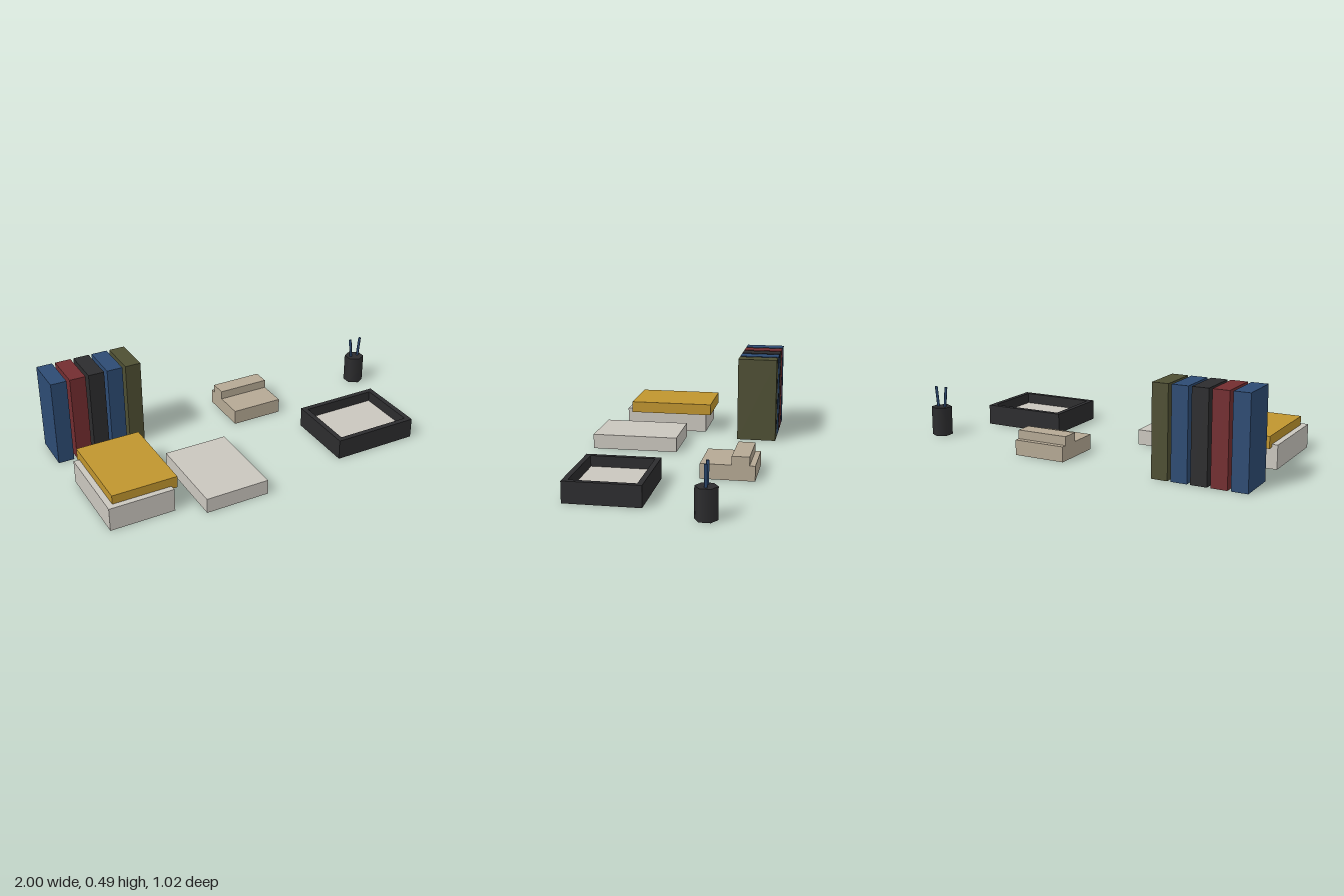
import * as THREE from 'three';

const mat = (name, color) => {
  const m = new THREE.MeshStandardMaterial({ color });
  m.name = name;
  return m;
};

export function createModel() {
  const group = new THREE.Group();
  group.name = 'deskItems';

  const blue = mat('blue', 0x2d4b73);
  const red = mat('darkRed', 0x732d30);
  const black = mat('charcoal', 0x2c2c2e);
  const olive = mat('olive', 0x4e4f33);
  const mustard = mat('mustard', 0xc0952e);
  const paper = mat('paper', 0xcac6be);
  const tan = mat('tan', 0xb5a994);

  // Box given by its extents on each axis
  const block = (name, material, [x0, x1], [y0, y1], [z0, z1], parent = group) => {
    const mesh = new THREE.Mesh(new THREE.BoxGeometry(x1 - x0, y1 - y0, z1 - z0), material);
    mesh.position.set((x0 + x1) / 2, (y0 + y1) / 2, (z0 + z1) / 2);
    mesh.name = name;
    parent.add(mesh);
    return mesh;
  };

  // Row of standing binders
  const binders = new THREE.Group();
  binders.name = 'binders';
  [blue, red, black, blue, olive].forEach((m, i) => {
    const x = -1 + i * 0.1055;
    block(`binder${i + 1}`, m, [x, x + 0.088], [0, 0.488], [-0.513, -0.285], binders);
  });
  group.add(binders);

  // Paper stacks and the folder lying on the first one
  block('paperStackTall', paper, [-0.984, -0.63], [0, 0.13], [-0.073, 0.414]);
  block('folder', mustard, [-0.952, -0.597], [0.114, 0.179], [-0.106, 0.382]);
  block('paperStackLow', paper, [-0.497, -0.143], [0, 0.083], [0.023, 0.511]);

  // Desk phone: base with a raised bar
  const phone = new THREE.Group();
  phone.name = 'phone';
  block('phoneBase', tan, [0.04, 0.333], [0, 0.083], [-0.48, -0.188], phone);
  block('phoneHandset', tan, [0.04, 0.333], [0.083, 0.131], [-0.45, -0.355], phone);
  group.add(phone);

  // Open tray: extruded rim, floor, and sheets inside
  const tray = new THREE.Group();
  tray.name = 'tray';
  const [x0, x1, z0, z1, wall, height] = [0.365, 0.849, 0.009, 0.413, 0.029, 0.114];
  const rect = (path, inset) => path
    .moveTo(x0 + inset, -z1 + inset).lineTo(x1 - inset, -z1 + inset)
    .lineTo(x1 - inset, -z0 - inset).lineTo(x0 + inset, -z0 - inset).closePath();
  const outline = rect(new THREE.Shape(), 0);
  outline.holes.push(rect(new THREE.Path(), wall));
  const rim = new THREE.Mesh(
    new THREE.ExtrudeGeometry(outline, { depth: height, bevelEnabled: false }).rotateX(-Math.PI / 2),
    black);
  rim.name = 'trayRim';
  tray.add(rim);
  const inner = (d) => [[x0 + d, x1 - d], [z0 + d, z1 - d]];
  const [fx, fz] = inner(wall);
  block('trayFloor', black, fx, [0, 0.025], fz, tray);
  const [px, pz] = inner(wall + 0.002);
  block('traySheets', paper, px, [0.025, 0.056], pz, tray);
  group.add(tray);

  // Six-sided cup with two leaning pens
  const cup = new THREE.Group();
  cup.name = 'penCup';
  cup.position.set(0.949, 0, -0.317);
  const body = new THREE.Mesh(new THREE.CylinderGeometry(0.057, 0.057, 0.163, 6), black);
  body.position.y = 0.0815;
  body.name = 'cupBody';
  cup.add(body);
  for (const side of [-1, 1]) {
    const pen = new THREE.Mesh(new THREE.CylinderGeometry(0.008, 0.008, 0.17, 6), blue);
    pen.position.set(side * 0.026, 0.193, 0);
    pen.rotation.z = -side * 0.1;
    pen.name = side < 0 ? 'penRight' : 'penLeft';
    cup.add(pen);
  }
  group.add(cup);

  return group;
}
